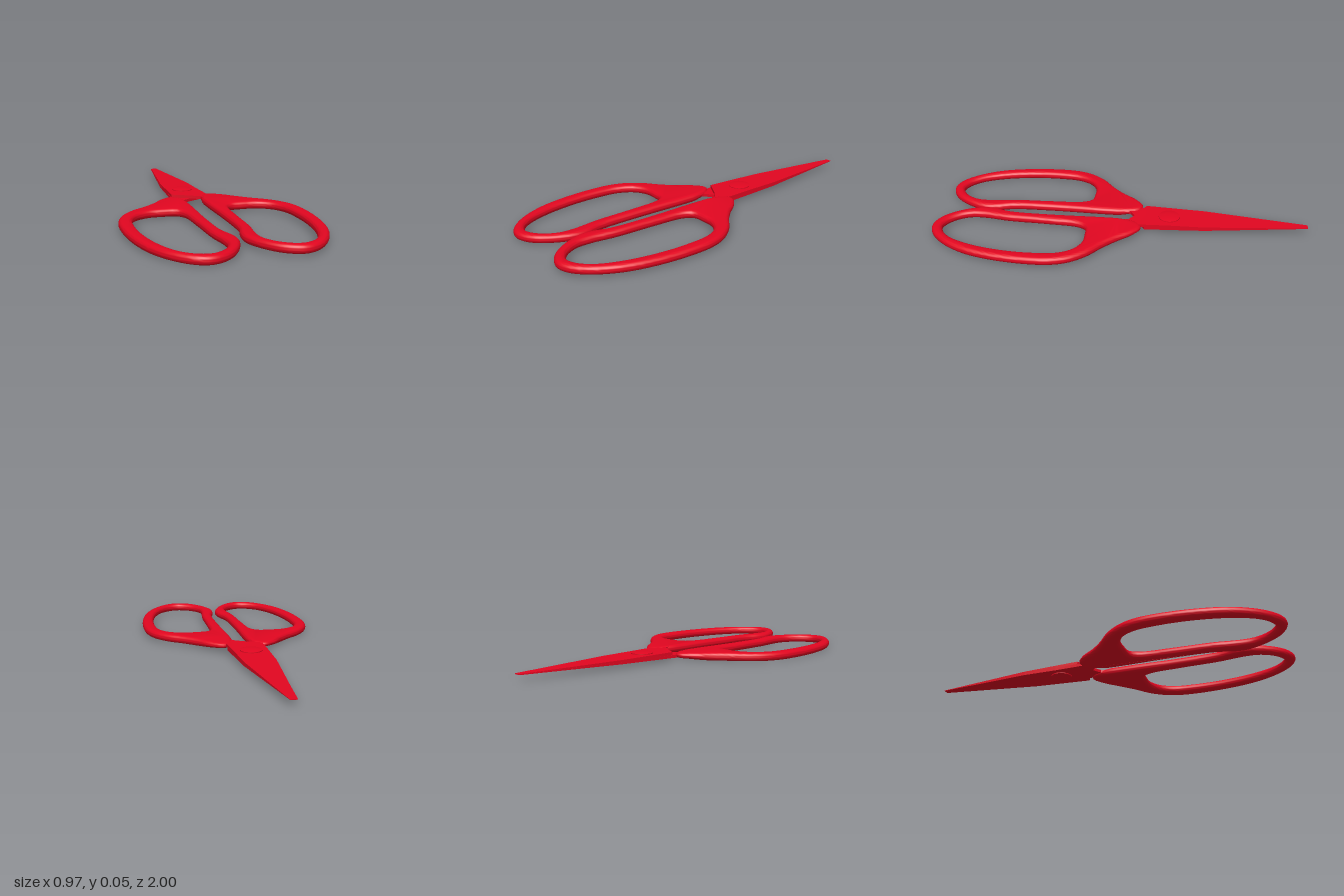
import * as THREE from 'three';
import { toCreasedNormals } from 'three/addons/utils/BufferGeometryUtils.js';

const MID = 0.032; // height of the plane where the two blades meet

// Handle outline and finger hole, as [x, z] for the left (+x) side
const OUTLINE = [
  [0.114, -0.115], [0.18, -0.07], [0.235, 0], [0.3, 0.065], [0.385, 0.135], [0.445, 0.215], [0.475, 0.3],
  [0.484, 0.42], [0.468, 0.61], [0.427, 0.77], [0.355, 0.9], [0.275, 0.975], [0.205, 0.994], [0.125, 0.96],
  [0.055, 0.875], [0.013, 0.77], [0.016, 0.7], [0.04, 0.61], [0.048, 0.4], [0.043, 0.08], [0.046, -0.01],
  [0.07, -0.09],
];
const HOLE = [
  [0.122, 0.225], [0.15, 0.18], [0.215, 0.172], [0.29, 0.175], [0.36, 0.215], [0.402, 0.29], [0.415, 0.4],
  [0.41, 0.56], [0.375, 0.74], [0.32, 0.865], [0.26, 0.922], [0.2, 0.937], [0.13, 0.895], [0.087, 0.82],
  [0.083, 0.74], [0.1, 0.61], [0.108, 0.4],
];
// Blade with its tang, as [x, z]
const BLADE = [
  [-0.015, -1], [0.018, -1], [0.083, -0.45], [0.09, -0.26], [0.1, -0.1], [0.12, 0], [0.06, 0],
  [0.05, -0.045], [0, -0.08], [-0.095, -0.13], [-0.09, -0.26], [-0.082, -0.45],
];

// Points mirrored by side, always running the same way round
function mirrored(points, side) {
  const result = points.map(([x, z]) => new THREE.Vector2(x * side, z));
  return side > 0 ? result : result.reverse();
}

// Closed smooth loop through mirrored points
function loop(points, side, count) {
  const curve = new THREE.CatmullRomCurve3(mirrored(points, side).map((p) => new THREE.Vector3(p.x, p.y, 0)), true);
  return curve.getSpacedPoints(count).slice(0, count).map((p) => new THREE.Vector2(p.x, p.y));
}

// Moves each vertex to a new height given by rule(y, z)
function reshape(geometry, rule) {
  const p = geometry.attributes.position;
  for (let i = 0; i < p.count; i++) p.setY(i, rule(p.getY(i), p.getZ(i)));
  return geometry;
}

function handleGeometry(side, centreY) {
  const shape = new THREE.Shape(loop(OUTLINE, side, 130));
  shape.holes.push(new THREE.Path(loop(HOLE, side, 90)));
  const bevel = 0.0215;
  const depth = 0.001;
  const g = new THREE.ExtrudeGeometry(shape, {
    depth, bevelEnabled: true, bevelThickness: bevel, bevelSize: bevel, bevelOffset: -bevel, bevelSegments: 6,
  });
  g.translate(0, 0, -depth / 2).rotateX(Math.PI / 2);
  // thin the neck toward the blade
  reshape(g, (y, z) => {
    const t = 1 - THREE.MathUtils.smoothstep(z, -0.12, 0.04);
    return THREE.MathUtils.lerp(centreY, MID + side * 0.003, t) + y * (1 - 0.35 * t);
  });
  return toCreasedNormals(g, 0.7);
}

function bladeGeometry(side) {
  const shape = new THREE.Shape(mirrored(BLADE, side));
  const g = new THREE.ExtrudeGeometry(shape, { depth: 1, bevelEnabled: false });
  g.translate(0, 0, -0.5).rotateX(Math.PI / 2);
  // each blade lies on its own side of the middle plane and thins to the tip
  reshape(g, (y, z) => {
    const thickness = THREE.MathUtils.mapLinear(Math.min(z, -0.13), -0.13, -1, 0.016, 0.002);
    return MID + (y + side * 0.5) * thickness;
  });
  return toCreasedNormals(g, 0.4);
}

export function createModel() {
  const model = new THREE.Group();
  model.name = 'scissors';
  const red = new THREE.MeshStandardMaterial({ color: 0xe20620 });
  const add = (name, geometry) => {
    const mesh = new THREE.Mesh(geometry, red);
    mesh.name = name;
    model.add(mesh);
    return mesh;
  };

  // Two mirrored halves, the left one lying a little higher and further back
  for (const [side, name, y, z] of [[1, 'left', 0.032, 0], [-1, 'right', 0.022, 0.006]]) {
    add(`${name}Handle`, handleGeometry(side, y)).position.z = z;
    add(`${name}Blade`, bladeGeometry(side));
  }

  // Pivot rivet with shallow domes on both faces
  const profile = [
    [0, -0.023], [0.025, -0.0225], [0.045, -0.0205], [0.058, -0.018],
    [0.058, 0.018], [0.045, 0.0205], [0.025, 0.0225], [0, 0.023],
  ].map(([r, y]) => new THREE.Vector2(r, y));
  add('rivet', toCreasedNormals(new THREE.LatheGeometry(profile, 40), 0.6)).position.set(0, MID, -0.26);

  return model;
}
